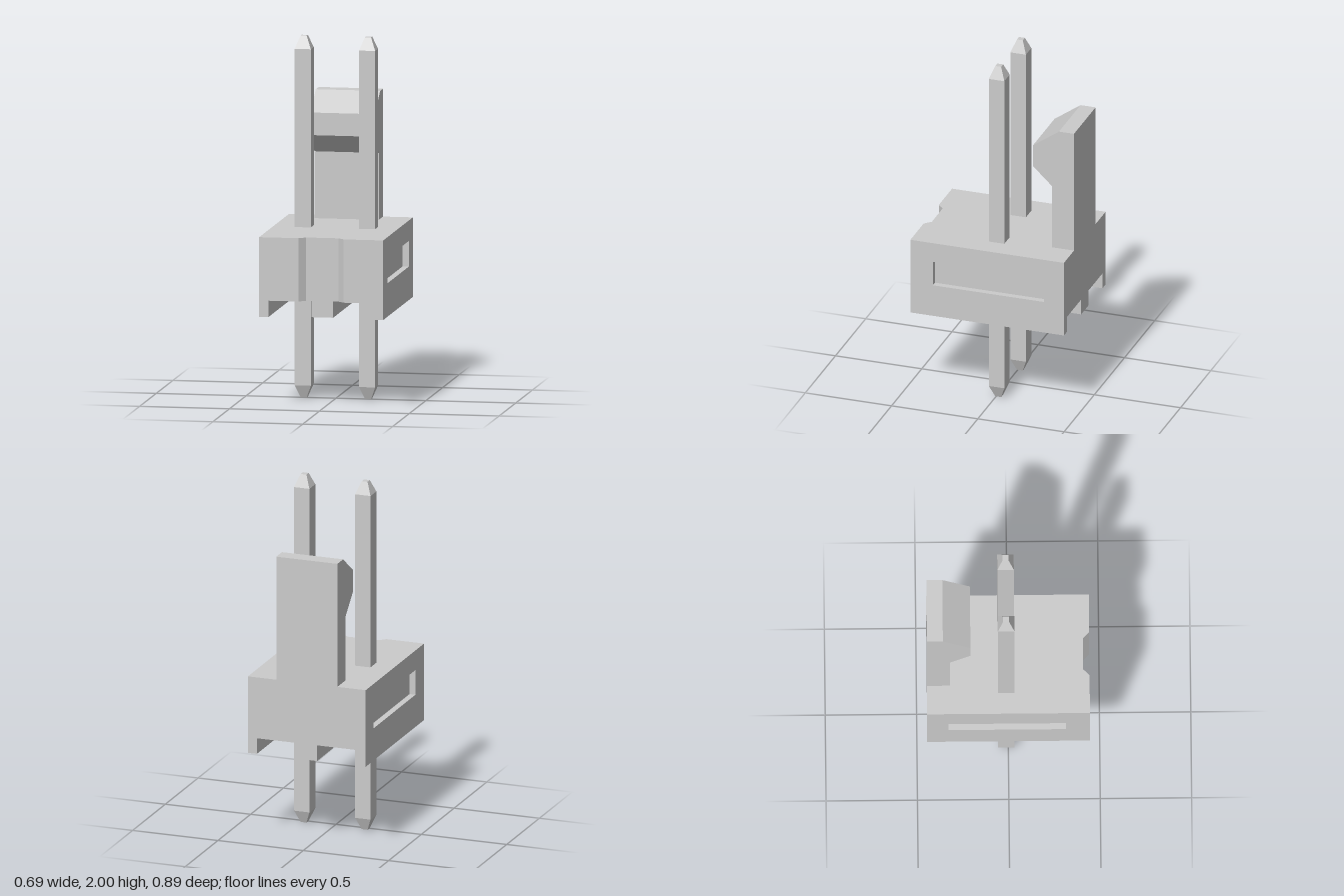
import * as THREE from 'three';

const material = new THREE.MeshStandardMaterial({ color: 0xcccccc, flatShading: true });

// Closed outline from [a, b] pairs
const outline = (pts) => new THREE.Shape(pts.map(([a, b]) => new THREE.Vector2(a, b)));

const extrude = (shape, depth) =>
  new THREE.ExtrudeGeometry(shape, { depth, bevelEnabled: false });

// Extrudes a (z, y) profile along x, starting at x0
function extrudeAlongX(shape, x0, width) {
  return extrude(shape, width).rotateY(-Math.PI / 2).translate(x0 + width, 0, 0);
}

export function createModel() {
  const model = new THREE.Group();
  const add = (name, geometry, parent = model) => {
    const mesh = new THREE.Mesh(geometry, material);
    mesh.name = name;
    parent.add(mesh);
    return mesh;
  };

  const W = 0.345, D = 0.445;                 // housing half width and half depth
  const bottom = 0.505, floor = 0.595, top = 0.945;
  const recess = 0.035;                       // depth of the side windows
  const inner = W - recess;

  const housing = new THREE.Group();
  housing.name = 'housing';
  model.add(housing);

  // Core block with a chamfered notch in the front (plan drawn as x, -z)
  const plan = outline([
    [-inner, -D], [-0.125, -D], [-0.09, -0.41], [0.09, -0.41], [0.125, -D],
    [inner, -D], [inner, D], [-inner, D],
  ]);
  add('housingCore', extrude(plan, top - floor).rotateX(-Math.PI / 2).translate(0, floor, 0), housing);

  // Side walls with a recessed window, and the feet below them
  for (const side of [-1, 1]) {
    const wall = outline([[-D, bottom], [D, bottom], [D, top], [-D, top]]);
    wall.holes.push(outline([[-0.33, 0.69], [-0.33, 0.832], [0.315, 0.832], [0.315, 0.69]]));
    add('sideWall', extrudeAlongX(wall, side > 0 ? inner : -W, recess), housing);

    const footWidth = inner - 0.293;
    add('sideFoot', new THREE.BoxGeometry(footWidth, floor - bottom, 2 * D)
      .translate(side * (0.293 + footWidth / 2), (floor + bottom) / 2, 0), housing);
  }

  // Centre rib, stopping at the notch
  add('centreRib', new THREE.BoxGeometry(0.12, floor - bottom, D + 0.41)
    .translate(0, (floor + bottom) / 2, (0.41 - D) / 2), housing);

  // Hooked locking latch at the back
  const latch = outline([
    [-D, top], [-0.318, top], [-0.318, 1.315], [-0.207, 1.42],
    [-0.207, 1.545], [-0.358, 1.652], [-D, 1.652],
  ]);
  add('latch', extrudeAlongX(latch, -0.179, 0.358));

  // Square pins with tapered ends
  const r = 0.045 * Math.SQRT2, tip = 0.017 * Math.SQRT2;
  const pinProfile = [[0, 0], [tip, 0], [r, 0.07], [r, 1.93], [tip, 2], [0, 2]]
    .map(([x, y]) => new THREE.Vector2(x, y));
  for (const x of [-0.179, 0.179]) {
    add('pin', new THREE.LatheGeometry(pinProfile, 4, Math.PI / 4)).position.set(x, 0, -0.012);
  }

  return model;
}
